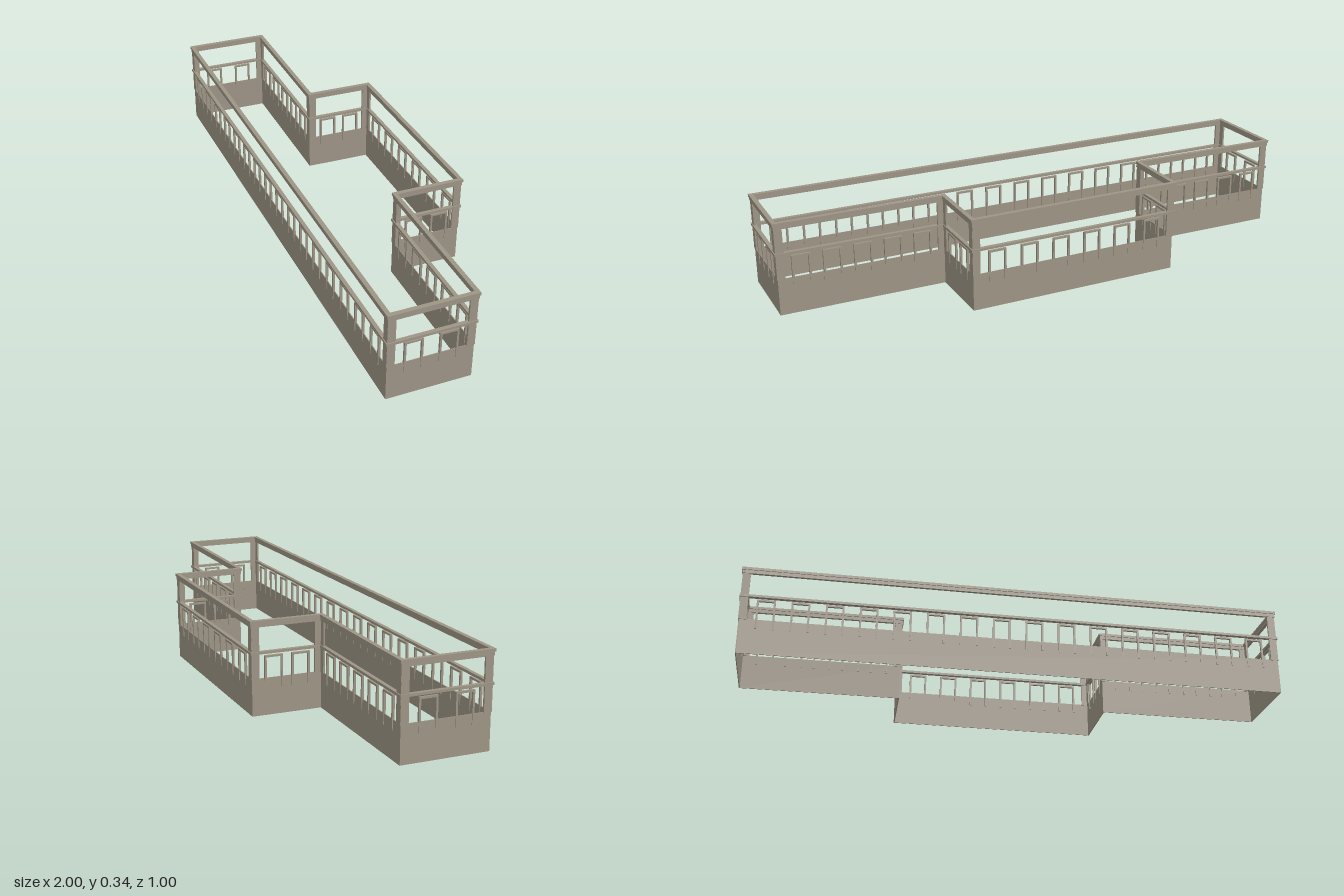
import * as THREE from 'three';

// Footprint corners (x, z), in order around the terrace
const CORNERS = [
  [-0.99, -0.163], [-0.883, -0.455], [-0.33, -0.257], [-0.242, -0.493],
  [0.505, -0.235], [0.419, 0.005], [0.985, 0.206], [0.885, 0.49],
];

const WALL_TOP = 0.132;
const BEAM_BOTTOM = 0.312;

export function createModel() {
  const stone = new THREE.MeshStandardMaterial({ color: 0x9d9485 });
  stone.name = 'warm grey';
  const model = new THREE.Group();
  model.name = 'terraceEnclosure';

  // Box centred on x along the side, spanning y0..y1, centred on the wall plane
  function bar(parent, name, x, length, y0, y1, depth) {
    const mesh = new THREE.Mesh(new THREE.BoxGeometry(length, y1 - y0, depth), stone);
    mesh.position.set(x, (y0 + y1) / 2, 0);
    mesh.name = name;
    parent.add(mesh);
  }

  // Inverted U of two legs and a top bar
  function hoop(parent, x, width) {
    const t = 0.007;
    for (const s of [-1, 1]) bar(parent, 'hoopLeg', x + s * (width - t) / 2, t, 0.096, 0.206, 0.008);
    bar(parent, 'hoopTop', x, width, 0.204, 0.211, 0.008);
  }

  CORNERS.forEach(([x0, z0], i) => {
    const [x1, z1] = CORNERS[(i + 1) % CORNERS.length];
    const length = Math.hypot(x1 - x0, z1 - z0);
    const side = new THREE.Group();
    side.name = 'side' + (i + 1);
    side.position.set((x0 + x1) / 2, 0, (z0 + z1) / 2);
    side.rotation.y = -Math.atan2(z1 - z0, x1 - x0);
    model.add(side);

    // Parapet, handrail and two-step top beam
    bar(side, 'parapet', 0, length + 0.003, 0, WALL_TOP, 0.003);
    bar(side, 'handrail', 0, length + 0.014, 0.218, 0.227, 0.014);
    bar(side, 'beam', 0, length + 0.01, BEAM_BOTTOM, 0.325, 0.01);
    bar(side, 'beamCap', 0, length + 0.016, 0.325, 0.335, 0.016);

    // Flat corner posts at both ends
    for (const s of [-1, 1]) {
      bar(side, 'cornerPost', s * (length / 2 - 0.011), 0.028, WALL_TOP - 0.002, BEAM_BOTTOM, 0.007);
    }

    // Evenly spaced balustrade hoops
    const clear = length - 0.056;
    const count = Math.round(clear / 0.117);
    const step = clear / count;
    for (let k = 0; k < count; k++) hoop(side, -clear / 2 + (k + 0.5) * step, 0.066);
  });

  return model;
}
